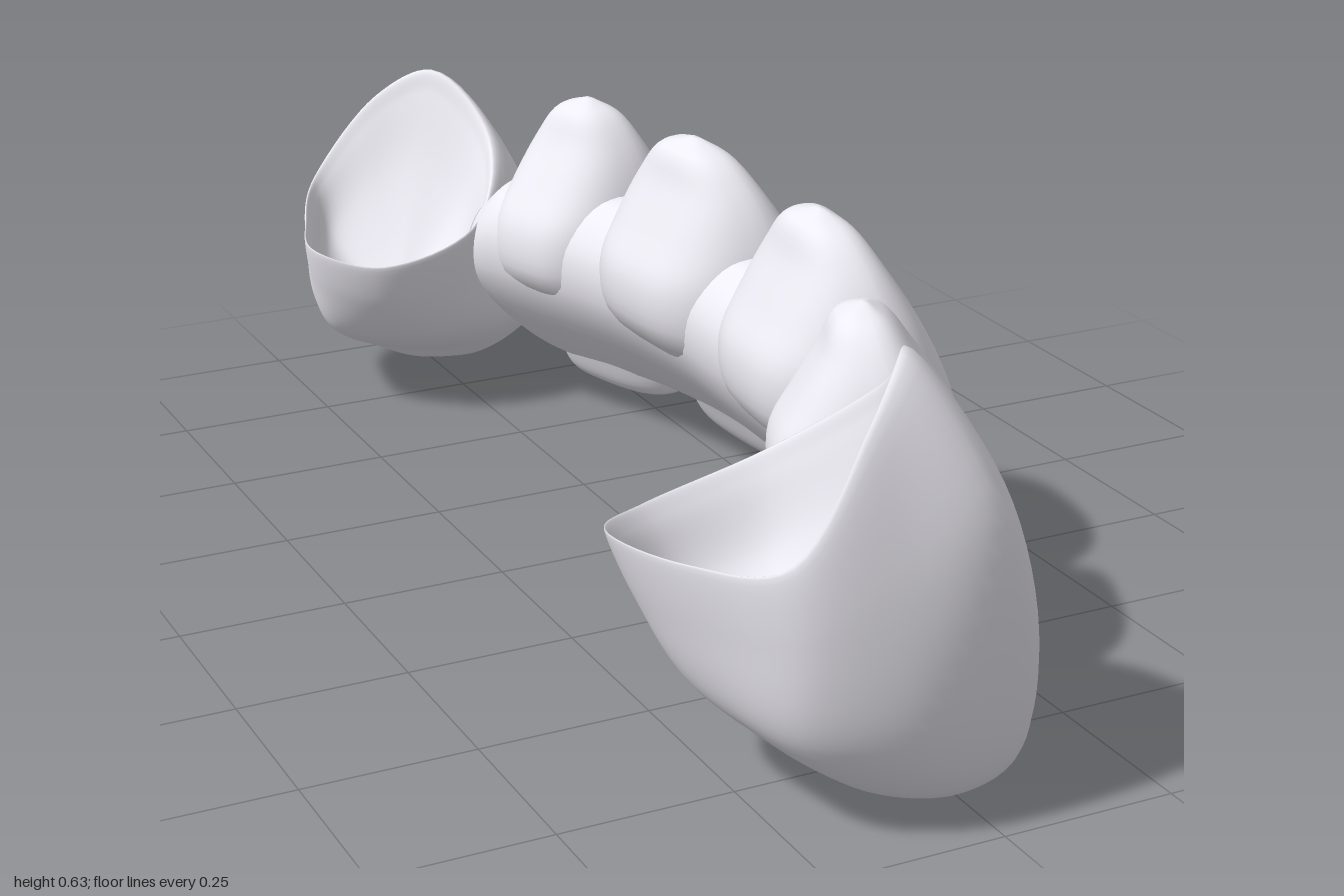
import * as THREE from 'three';

const V = (x, y, z) => new THREE.Vector3(x, y, z);
const spline = (pts, closed = false) => new THREE.CatmullRomCurve3(pts, closed, 'centripetal');

// Smooth skin over a list of closed rings that share a point count, capped at both ends
function loft(name, rings, steps) {
  const n = rings[0].length, verts = [], idx = [];
  const columns = rings[0].map((_, i) => spline(rings.map(r => r[i])));
  for (let j = 0; j <= steps; j++)
    for (const c of columns) verts.push(c.getPoint(j / steps));
  for (const r of [rings[0], rings.at(-1)])
    verts.push(r.reduce((s, p) => s.add(p), V(0, 0, 0)).divideScalar(n));
  const first = (steps + 1) * n, last = first + 1;
  for (let i = 0; i < n; i++) {
    const next = (i + 1) % n;
    for (let j = 0; j < steps; j++) {
      const a = j * n + i, b = j * n + next;
      idx.push(a, b, b + n, a, b + n, a + n);
    }
    idx.push(first, next, i, last, steps * n + i, steps * n + next);
  }
  // Turn the faces outward whichever way the rings run
  let volume = 0;
  for (let k = 0; k < idx.length; k += 3)
    volume += verts[idx[k]].dot(verts[idx[k + 1]].clone().cross(verts[idx[k + 2]]));
  if (volume < 0) idx.reverse();
  const geo = new THREE.BufferGeometry().setFromPoints(verts);
  geo.setIndex(idx);
  geo.computeVertexNormals();
  const mesh = new THREE.Mesh(geo, new THREE.MeshStandardMaterial({ color: 0xedebf3 }));
  mesh.name = name;
  return mesh;
}

// Local arch frame: w runs outward along the facing angle, u runs along the arch
const place = (f, w, y, u) => V(
  f.x + w * Math.cos(f.angle) - u * Math.sin(f.angle), y,
  f.z + w * Math.sin(f.angle) + u * Math.cos(f.angle));

// Incisor levels: height, inner depth, outer depth, width factor
const LEVELS = [
  [0.04, -0.065, -0.06, 0.1], [0.042, -0.1, -0.02, 0.82], [0.06, -0.12, 0, 0.91],
  [0.12, -0.155, 0.007, 0.96], [0.2, -0.22, 0.002, 1], [0.28, -0.31, -0.012, 1],
  [0.36, -0.322, -0.042, 0.97], [0.43, -0.29, -0.08, 0.89], [0.5, -0.255, -0.125, 0.7],
  [0.55, -0.235, -0.16, 0.42], [0.57, -0.2, -0.19, 0.06],
];

function incisor(name, f) {
  const n = 56;
  const power = (v, e) => Math.sign(v) * Math.abs(v) ** e;
  const rings = LEVELS.map(([y, w0, w1, k]) => Array.from({ length: n }, (_, i) => {
    const t = i / n * Math.PI * 2, rise = (y - 0.04) / 0.53;
    const s = power(Math.sin(t), 0.66) * 0.5 + 0.5;
    const u = power(Math.cos(t), 0.66) * f.half * k * Math.min(1, 0.8 + 0.36 * s);
    return place(f, w0 + (w1 - w0) * s + f.lean * rise, f.bottom + rise * (f.top - f.bottom), u);
  }));
  return loft(name, rings, 44);
}

// Canine rings, from the cusp up to the slanted rim of the socket
const CANINE = {
  cusp: [[0.08, 0.05, 0.9], [-0.05, 0.05, 0.945], [-0.16, 0.06, 0.9], [-0.19, 0.07, 0.82],
    [-0.17, 0.07, 0.75], [-0.07, 0.06, 0.71], [0.03, 0.06, 0.7], [0.115, 0.07, 0.76]],
  belly: [[0.07, 0.2, 0.945], [-0.11, 0.17, 0.993], [-0.24, 0.15, 0.935], [-0.282, 0.145, 0.81],
    [-0.285, 0.145, 0.69], [-0.17, 0.13, 0.62], [0.01, 0.14, 0.62], [0.148, 0.16, 0.73]],
  neck: [[-0.005, 0.45, 0.97], [-0.14, 0.38, 0.997], [-0.265, 0.3, 0.96], [-0.325, 0.27, 0.81],
    [-0.348, 0.26, 0.655], [-0.25, 0.24, 0.565], [-0.07, 0.27, 0.575], [0.07, 0.37, 0.71]],
  rim: [[-0.1, 0.628, 0.885], [-0.18, 0.565, 0.95], [-0.28, 0.405, 0.95], [-0.345, 0.36, 0.8],
    [-0.38, 0.35, 0.64], [-0.28, 0.33, 0.545], [-0.11, 0.38, 0.56], [-0.03, 0.515, 0.72]],
};

function canine(name, adjust) {
  const n = 64;
  const ring = pts => spline(pts.map(p => V(...p)), true).getPoints(n).slice(0, n);
  const { cusp, belly, neck, rim } = CANINE;
  const edge = ring(rim), floor = V(-0.16, 0.18, 0.755), tip = V(0.02, 0.002, 0.84);
  const toFloor = (k, drop) => edge.map(p => p.clone().lerp(floor, k).add(V(0, -drop, 0)));
  const toTip = (k, flat) => ring(cusp).map(p => p.lerp(tip, k).setY(p.y * flat));
  const rings = [toTip(0.95, 0.4), toTip(0.5, 0.45), ring(cusp), ring(belly), ring(neck), edge,
    toFloor(0.08, 0.012), toFloor(0.28, 0.06), toFloor(0.6, 0.05), toFloor(0.92, 0.012)];
  return loft(name, rings.map(r => r.map(adjust)), 72);
}

// Band that joins the teeth, swept along the arch
function connector() {
  const section = [[-0.09, 0.08], [-0.045, 0.18], [-0.07, 0.3], [-0.14, 0.41], [-0.21, 0.41],
    [-0.27, 0.34], [-0.265, 0.25], [-0.17, 0.13]];
  const stations = [
    [0.17, -0.75, -0.5, 0.62], [0.225, -0.685, -0.4, 0.95], [0.33, -0.41, -0.2, 1], [0.365, -0.2, -0.08, 1],
    [0.365, 0, 0, 1], [0.36, 0.2, 0.09, 1], [0.32, 0.41, 0.25, 1],
    [0.19, 0.67, 0.5, 0.95], [0.11, 0.74, 0.6, 0.62],
  ];
  const rings = stations.map(([x, z, angle, size]) => {
    const pts = section.map(([w, y]) =>
      place({ x, z, angle }, -0.16 + (w + 0.16) * size, 0.25 + (y - 0.25) * size, 0));
    return spline(pts, true).getPoints(40).slice(0, 40);
  });
  return loft('connector', rings, 70);
}

export function createModel() {
  const group = new THREE.Group();
  group.name = 'dentalBridge';
  group.add(
    incisor('frontCentralIncisor', { x: 0.364, z: 0.215, angle: 0.09, half: 0.195, bottom: 0.04, top: 0.57, lean: 0 }),
    incisor('backCentralIncisor', { x: 0.371, z: -0.225, angle: -0.08, half: 0.195, bottom: 0.038, top: 0.567, lean: 0 }),
    incisor('frontLateralIncisor', { x: 0.25, z: 0.577, angle: 0.42, half: 0.147, bottom: 0.05, top: 0.538, lean: 0 }),
    incisor('backLateralIncisor', { x: 0.275, z: -0.572, angle: -0.28, half: 0.144, bottom: 0.045, top: 0.553, lean: 0.06 }),
    canine('frontCanine', p => p),
    // The opposite canine is a smaller, more upright mirror copy
    canine('backCanine', p => V(
      0.916 * p.x + 0.028 + 0.15 * (p.y - 0.1), 0.025 + 0.8 * p.y, -1 + (1 - p.z) * 0.87)),
    connector());
  return group;
}
